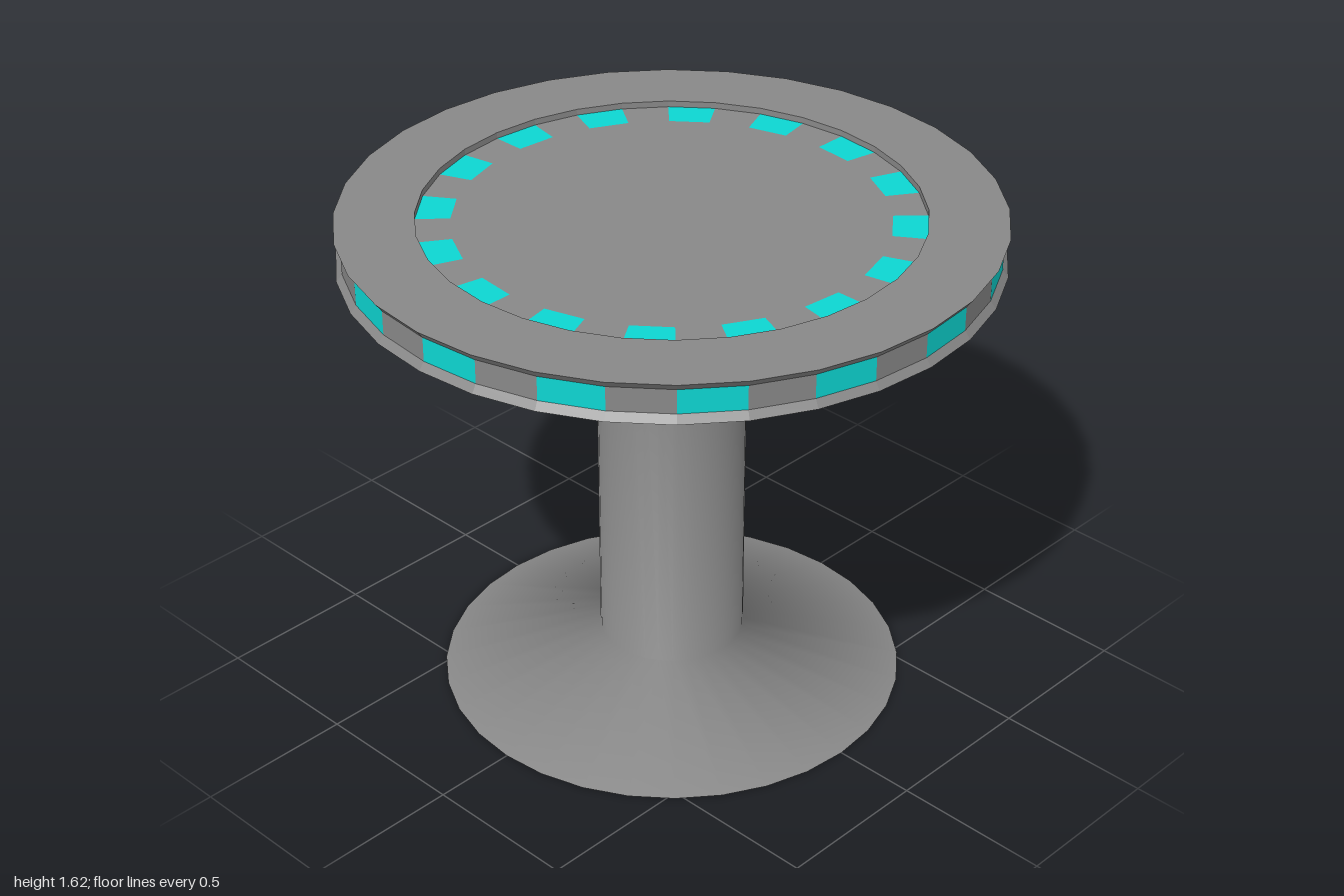
import * as THREE from 'three';
import { mergeGeometries } from 'three/addons/utils/BufferGeometryUtils.js';

const SIDES = 32;
const STEP = (Math.PI * 2) / SIDES;

const grey = new THREE.MeshStandardMaterial({ color: 0x888888 });
grey.name = 'grey metal';
const cyan = new THREE.MeshStandardMaterial({ color: 0x0dd6d2 });
cyan.name = 'cyan light';

// Revolves a profile over a number of sides, with faceted normals.
function facetedLathe(profile, first = 0, count = SIDES) {
  const points = profile.map(([r, y]) => new THREE.Vector2(r, y));
  const geometry = new THREE.LatheGeometry(points, count, first * STEP, count * STEP).toNonIndexed();
  geometry.computeVertexNormals();
  return geometry;
}

// Every second side of a ring, starting at side 0 or 1.
function alternateSides(profile, start) {
  const sides = [];
  for (let i = start; i < SIDES; i += 2) sides.push(facetedLathe(profile, i, 1));
  return mergeGeometries(sides);
}

export function createModel() {
  const group = new THREE.Group();
  const add = (name, geometry, material) => {
    const mesh = new THREE.Mesh(geometry, material);
    mesh.name = name;
    group.add(mesh);
  };

  // Flared foot and column, shaded smoothly as one surface
  const stand = [[0.735, 0], [0.23, 0.145], [0.23, 1.5]].map(([r, y]) => new THREE.Vector2(r, y));
  add('pedestal', new THREE.LatheGeometry(stand, SIDES), grey);
  add('footUnderside', facetedLathe([[0, 0], [0.735, 0]]), grey);

  // Table top: underside with lower lip, raised upper border, recessed floor
  add('topUnderside', facetedLathe([[0, 1.5], [1, 1.5], [0.982, 1.524]]), grey);
  add('topBorder', facetedLathe([[0.982, 1.6], [1, 1.624], [0.76, 1.624], [0.76, 1.604]]), grey);
  add('topFloor', facetedLathe([[0.655, 1.604], [0, 1.604]]), grey);

  // Rim band around the edge, alternating lights and metal
  const rim = [[0.982, 1.524], [0.982, 1.6]];
  add('rimLights', alternateSides(rim, 0), cyan);
  add('rimPanels', alternateSides(rim, 1), grey);

  // Ring of lights on the recessed floor
  const floorRing = [[0.76, 1.604], [0.655, 1.604]];
  add('floorLights', alternateSides(floorRing, 1), cyan);
  add('floorPanels', alternateSides(floorRing, 0), grey);

  return group;
}
